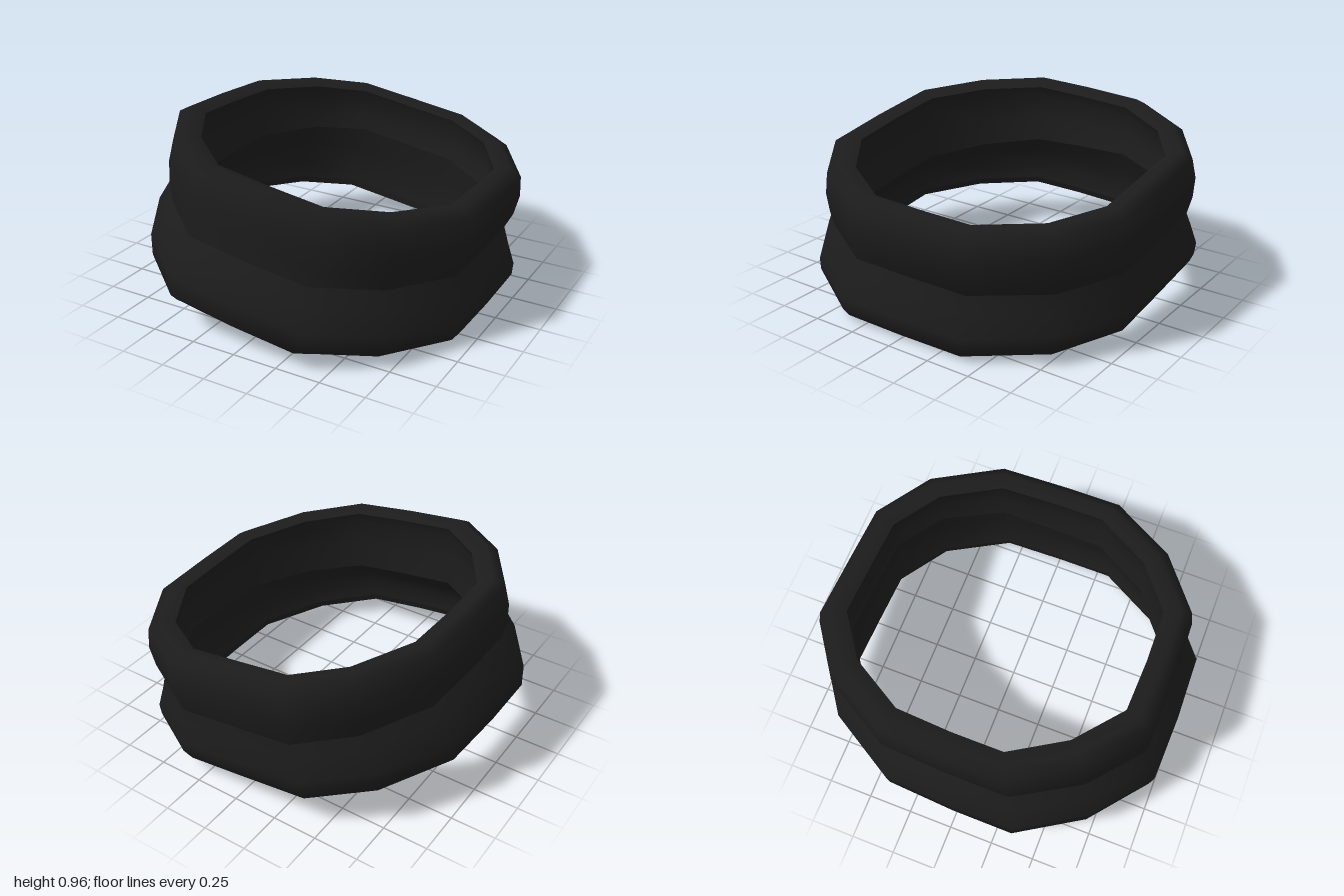
import * as THREE from 'three';

// Slightly irregular outline in unit half-widths: right, front, left, back
const OUTLINE = [
  [1, 0], [0.998, 0.36], [0.757, 0.745], [0.41, 0.993],
  [0, 1], [-0.41, 0.985], [-0.755, 0.72], [-0.997, 0.355],
  [-0.995, 0], [-0.97, -0.4], [-0.735, -0.78], [-0.415, -1],
  [0, -1], [0.375, -0.997], [0.735, -0.79], [0.99, -0.395],
];

// Skins a strip through tilted rings given as [centreX, centreZ, radiusX, radiusZ, height, tiltZ]
function strip(name, levels, material) {
  const n = OUTLINE.length, m = levels.length;
  const positions = [], index = [];
  for (const [ox, oz] of OUTLINE) {
    for (const [cx, cz, rx, rz, h, tiltZ = 0.01] of levels) {
      const x = cx + ox * rx, z = cz + oz * rz;
      const tiltX = h > 0.47 ? 0.15 : 0.14;
      positions.push(x, h - tiltX * x + tiltZ * z, z);
    }
  }
  for (let i = 0; i < n; i++) {
    const a0 = i * m, b0 = ((i + 1) % n) * m;
    for (let j = 0; j < m - 1; j++) {
      index.push(a0 + j, a0 + j + 1, b0 + j + 1, a0 + j, b0 + j + 1, b0 + j);
    }
  }
  const geometry = new THREE.BufferGeometry();
  geometry.setAttribute('position', new THREE.Float32BufferAttribute(positions, 3));
  geometry.setIndex(index);
  geometry.computeVertexNormals();
  const mesh = new THREE.Mesh(geometry, material);
  mesh.name = name;
  return mesh;
}

export function createModel() {
  const group = new THREE.Group();
  group.name = 'doubleBand';
  const black = new THREE.MeshStandardMaterial({ color: 0x1c1c1c });
  black.name = 'black';

  // Rings shared by neighbouring strips, where the surface has a crease
  const bottomEdge = [-0.015, 0.01, 0.81, 0.865, 0.13];
  const lipTop = [-0.01, 0.005, 0.8, 0.86, 0.17];
  const groove = [0.025, -0.03, 0.855, 0.93, 0.468, 0.015];
  const rimEdge = [0.055, -0.063, 0.75, 0.787, 0.81, 0.03];
  const innerRidge = [0.05, -0.05, 0.755, 0.8, 0.49, -0.05];

  group.add(
    // Underside and outside of the lower band
    strip('lowerOuterWall', [
      bottomEdge, [-0.03, 0.015, 0.87, 0.945, 0.115], [-0.025, 0.01, 0.93, 0.97, 0.14],
      [-0.003, 0.003, 0.95, 0.992, 0.2], [-0.001, 0, 0.952, 0.998, 0.268],
      [0.01, -0.01, 0.9, 0.962, 0.385], groove,
    ], black),
    // Outside of the upper band, rolling over the rim
    strip('upperOuterWall', [
      groove, [0.032, -0.045, 0.888, 0.94, 0.565, 0.02], [0.045, -0.052, 0.902, 0.945, 0.68, 0.02],
      [0.057, -0.056, 0.888, 0.925, 0.797, 0.03], [0.055, -0.06, 0.83, 0.868, 0.835, 0.03], rimEdge,
    ], black),
    // Hollowed inside walls, meeting at the inner ridge
    strip('upperInnerWall', [
      rimEdge, [0.05, -0.06, 0.78, 0.815, 0.74, 0.025], [0.05, -0.06, 0.785, 0.82, 0.62, 0], innerRidge,
    ], black),
    strip('lowerInnerWall', [
      innerRidge, [0.02, -0.025, 0.8, 0.845, 0.38, -0.02], [0, 0, 0.825, 0.875, 0.26], lipTop,
    ], black),
    // Thin lip around the bottom opening
    strip('bottomLip', [lipTop, bottomEdge], black),
  );
  return group;
}
